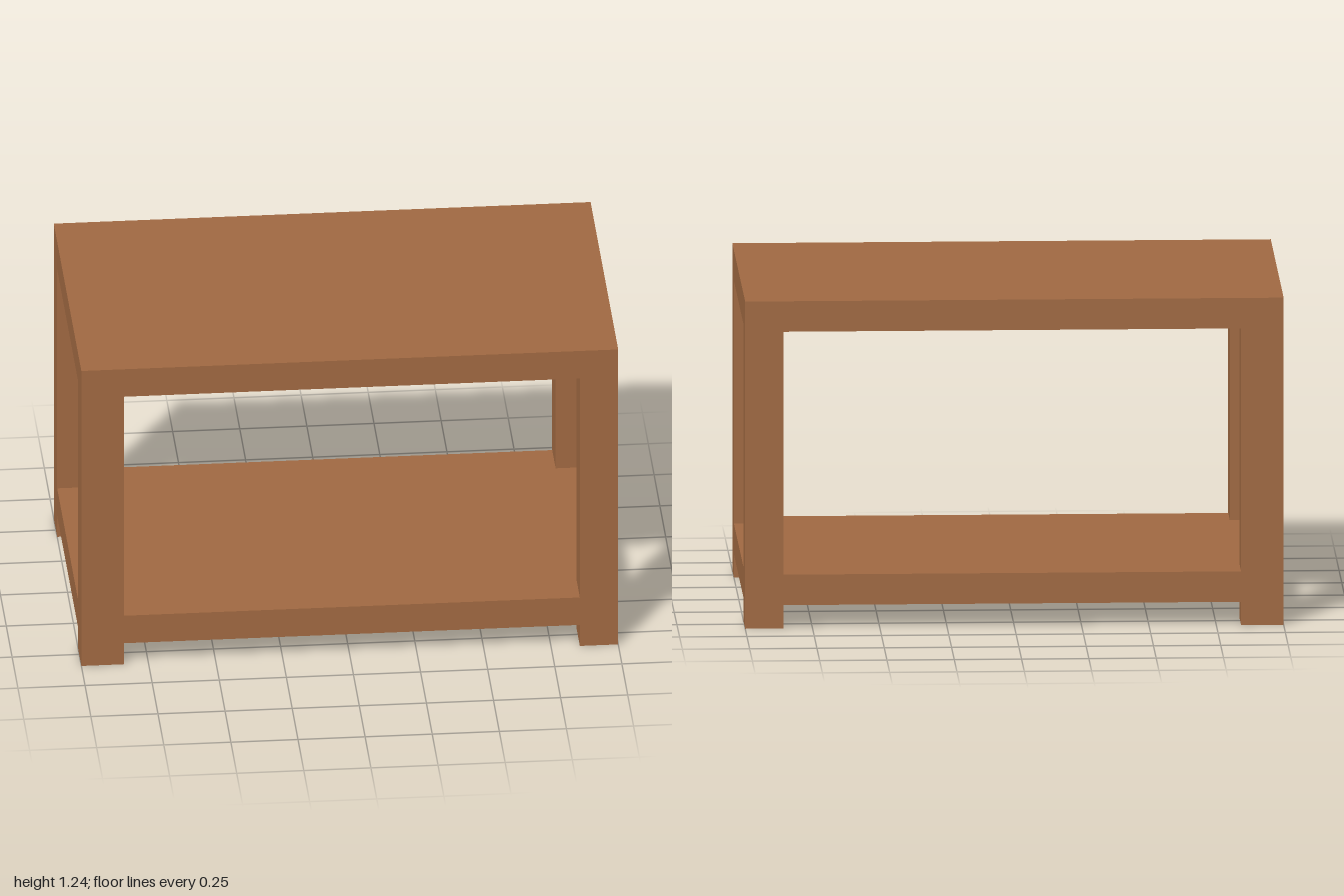
import * as THREE from 'three';

const X = 1, Z = 0.593;
// Levels: floor, shelf underside, shelf top, tabletop underside, tabletop top
const [FLOOR, SHELF_LOW, SHELF_TOP, TOP_LOW, TOP] = [0, 0.088, 0.203, 1.12, 1.235];

export function createModel() {
  const wood = new THREE.MeshStandardMaterial({ color: 0x9f6841 });
  wood.name = 'brown wood';
  const table = new THREE.Group();
  table.name = 'table';

  // Box between two opposite corners
  const box = (name, x0, x1, y0, y1, z0, z1, parent = table) => {
    const mesh = new THREE.Mesh(new THREE.BoxGeometry(x1 - x0, y1 - y0, z1 - z0), wood);
    mesh.position.set((x0 + x1) / 2, (y0 + y1) / 2, (z0 + z1) / 2);
    mesh.name = name;
    parent.add(mesh);
  };

  // Thick tabletop and lower shelf, flush with the legs
  box('tabletop', -X, X, TOP_LOW, TOP, -Z, Z);
  box('lowerShelf', -X, X, SHELF_LOW, SHELF_TOP, -Z, Z);

  // Corner legs: a foot below the shelf and a post above it
  const sides = [['right', -X, -0.842], ['left', 0.857, X]];
  const ends = [['front', 0.448, Z], ['back', -Z, -0.446]];
  for (const [end, z0, z1] of ends) {
    for (const [side, x0, x1] of sides) {
      const leg = new THREE.Group();
      leg.name = `${end} ${side} leg`;
      box('foot', x0, x1, FLOOR, SHELF_LOW, z0, z1, leg);
      box('post', x0, x1, SHELF_TOP, TOP_LOW, z0, z1, leg);
      table.add(leg);
    }
  }
  return table;
}
